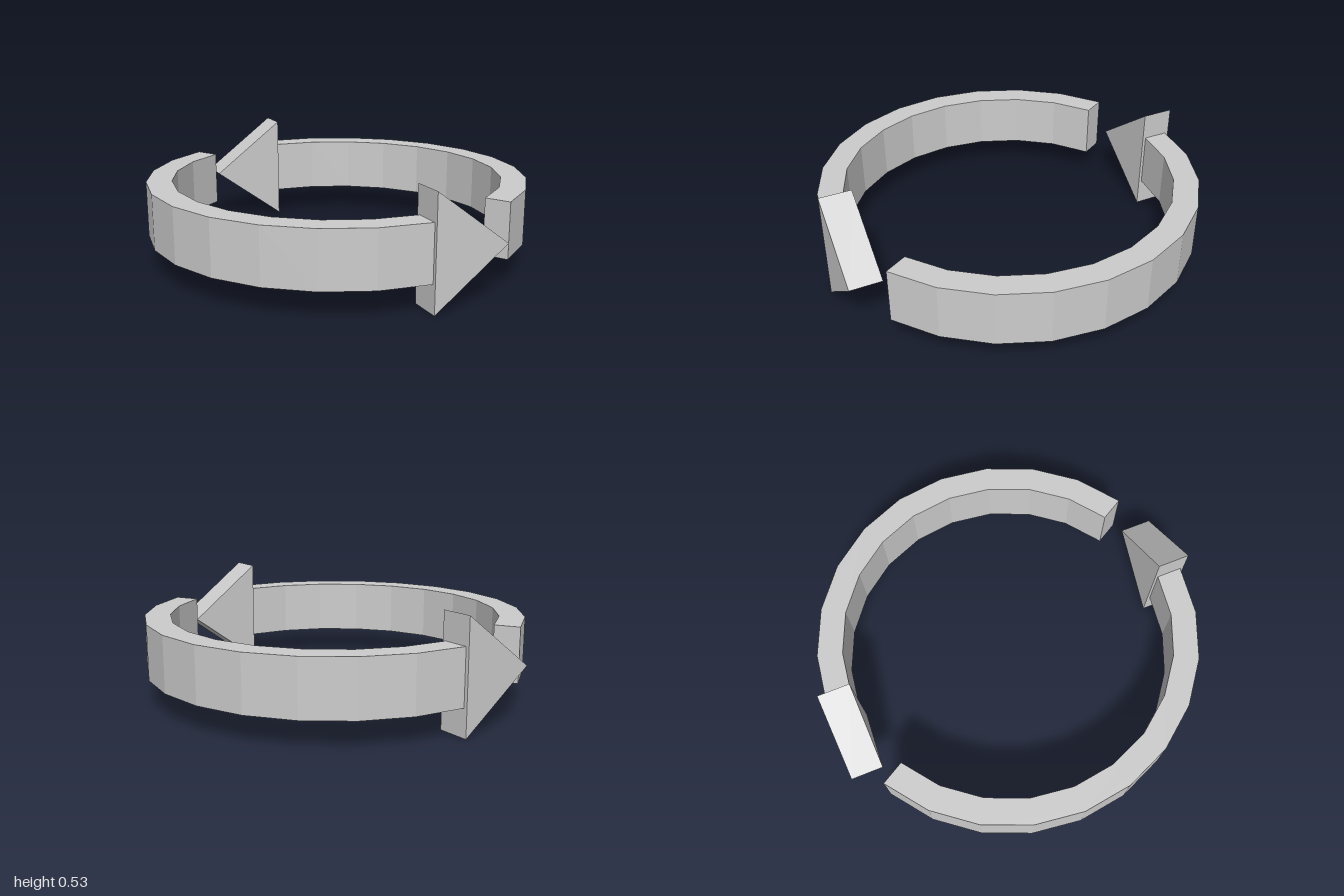
import * as THREE from 'three';

const OUTER = 0.92, INNER = 0.798;        // band radii
const START = 5.2, STEP = 15, STEPS = 10; // degrees, measured from the back
const MID_Y = 0.265, BAND_H = 0.265;
const HEAD_L = 0.355, HEAD_H = 0.53, HEAD_T = 0.155, HEAD_R = 0.86;
const rad = THREE.MathUtils.degToRad;

// Point on the plan outline at an angle from the back towards the right side
const planPoint = (r, deg) => new THREE.Vector2(-r * Math.sin(rad(deg)), r * Math.cos(rad(deg)));

export function createModel() {
  const grey = new THREE.MeshStandardMaterial({ color: 0xcccccc, flatShading: true });
  grey.name = 'light grey';

  // Faceted curved band, drawn in plan and extruded upwards
  const outer = [], inner = [];
  for (let i = 0; i <= STEPS; i++) {
    outer.push(planPoint(OUTER, START + i * STEP));
    inner.push(planPoint(INNER, START + i * STEP));
  }
  const bandShape = new THREE.Shape([...outer, ...inner.reverse()]);
  const bandGeo = new THREE.ExtrudeGeometry(bandShape, { depth: BAND_H, bevelEnabled: false });
  bandGeo.rotateX(-Math.PI / 2).translate(0, MID_Y - BAND_H / 2, 0);

  // Upright triangular head, set square to the end of the band
  const headShape = new THREE.Shape([
    new THREE.Vector2(0, -HEAD_H / 2),
    new THREE.Vector2(HEAD_L, 0),
    new THREE.Vector2(0, HEAD_H / 2),
  ]);
  const headGeo = new THREE.ExtrudeGeometry(headShape, { depth: HEAD_T, bevelEnabled: false });
  headGeo.translate(0, 0, -HEAD_T / 2);
  const end = START + STEP * STEPS;
  const headAt = planPoint(HEAD_R, end);

  // Two identical arrows chasing each other, half a turn apart
  const model = new THREE.Group();
  model.name = 'circularArrows';
  ['rightArrow', 'leftArrow'].forEach((name, i) => {
    const arrow = new THREE.Group();
    arrow.name = name;
    const band = new THREE.Mesh(bandGeo, grey);
    band.name = 'curvedBand';
    const head = new THREE.Mesh(headGeo, grey);
    head.name = 'arrowHead';
    head.position.set(headAt.x, MID_Y, -headAt.y);
    head.rotation.y = rad(end - 180);
    arrow.add(band, head);
    arrow.rotation.y = i * Math.PI;
    model.add(arrow);
  });
  return model;
}
